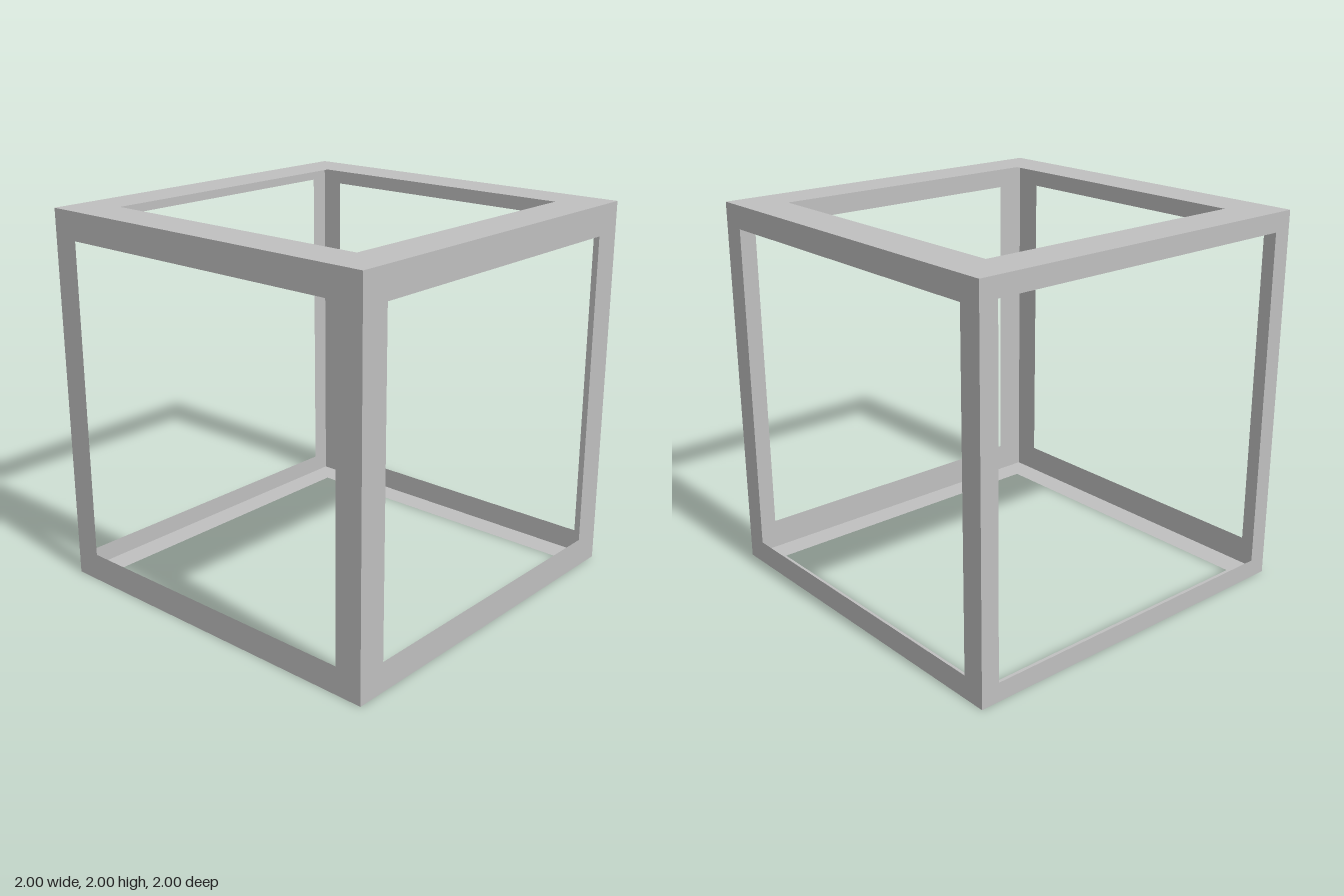
import * as THREE from 'three';

const HALF = 1;

// Flat square panel with a centred square opening, lying at z = HALF
function framePanel(border) {
  const square = (Type, r) => new Type([
    new THREE.Vector2(-r, -r), new THREE.Vector2(r, -r),
    new THREE.Vector2(r, r), new THREE.Vector2(-r, r),
  ]);
  const shape = square(THREE.Shape, HALF);
  shape.holes.push(square(THREE.Path, HALF - border));
  return new THREE.ShapeGeometry(shape).translate(0, 0, HALF);
}

export function createModel() {
  const group = new THREE.Group();
  group.name = 'openCubeFrame';

  const grey = new THREE.MeshStandardMaterial({ color: 0xbfbfbf, side: THREE.DoubleSide });
  grey.name = 'grey';

  // Name, border width, rotation about x, rotation about y
  const panels = [
    ['frontFrame', 0.148, 0, 0],
    ['backFrame', 0.122, 0, Math.PI],
    ['positiveXFrame', 0.158, 0, Math.PI / 2],
    ['negativeXFrame', 0.1, 0, -Math.PI / 2],
    ['topFrame', 0.227, -Math.PI / 2, 0],
    ['bottomFrame', 0.135, Math.PI / 2, 0],
  ];

  for (const [name, border, rx, ry] of panels) {
    const mesh = new THREE.Mesh(framePanel(border), grey);
    mesh.name = name;
    mesh.rotation.set(rx, ry, 0);
    mesh.position.y = HALF;
    group.add(mesh);
  }
  return group;
}
